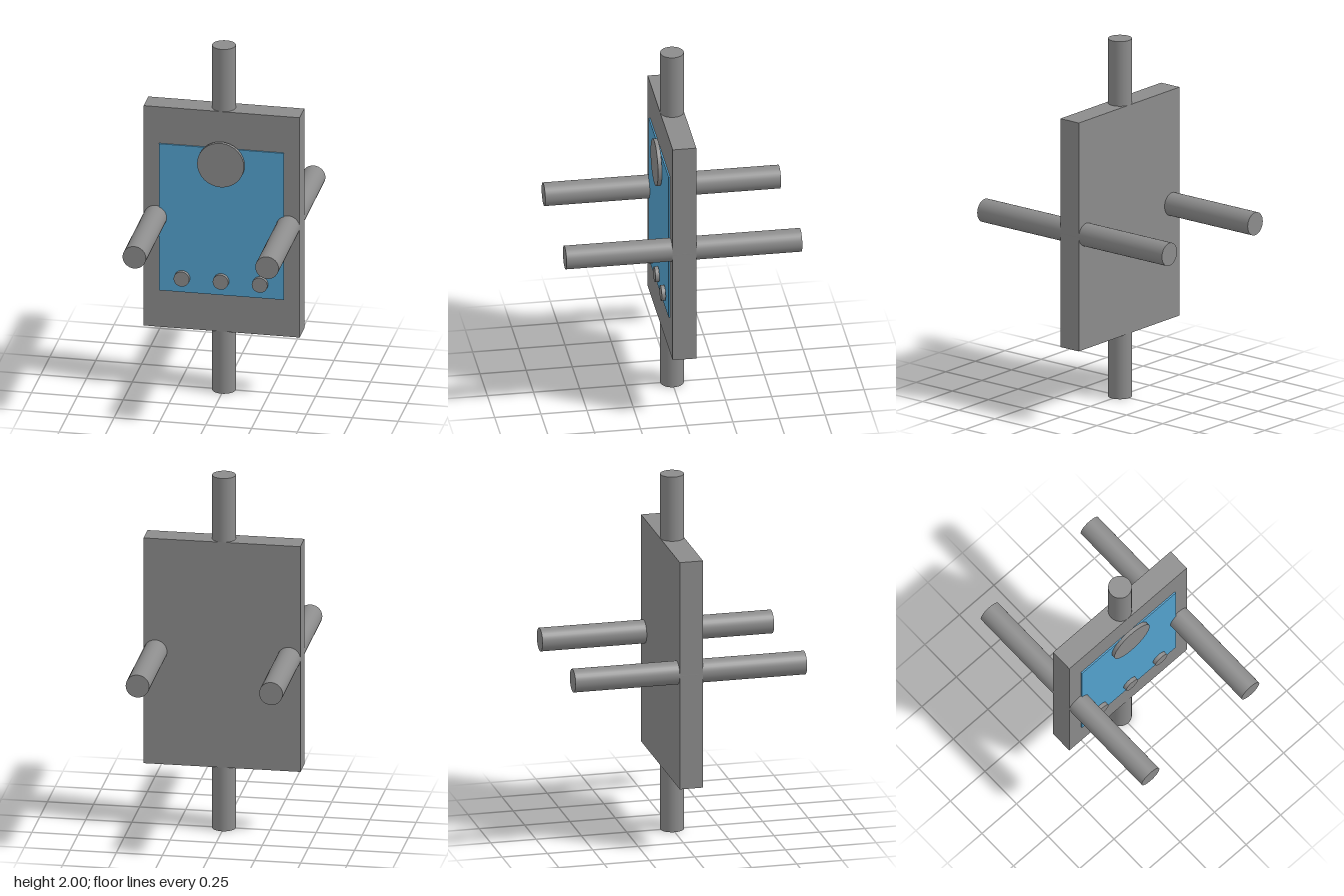
import * as THREE from 'three';

const grey = new THREE.MeshStandardMaterial({ color: 0x8c8c8c });
const blue = new THREE.MeshStandardMaterial({ color: 0x54a3d0 });

export function createModel() {
  const model = new THREE.Group();

  function add(name, geometry, x, y, z, material = grey) {
    const mesh = new THREE.Mesh(geometry, material);
    mesh.name = name;
    mesh.position.set(x, y, z);
    model.add(mesh);
    return mesh;
  }

  // Round part whose axis runs front to back
  function addRoundZ(name, radius, length, x, y, z) {
    add(name, new THREE.CylinderGeometry(radius, radius, length, 32), x, y, z).rotation.x = Math.PI / 2;
  }

  // Slab body with a thin panel on its front
  add('body', new THREE.BoxGeometry(0.851, 1.277, 0.1277), 0, 1, 0);
  add('screen', new THREE.BoxGeometry(0.681, 0.851, 0.0085), 0, 1.002, 0.0681, blue);

  // Vertical rod through the whole body
  add('verticalRod', new THREE.CylinderGeometry(0.0638, 0.0638, 2, 32), 0, 1, 0);

  // Rods running front to back at both sides
  for (const [name, side] of [['leftRod', 1], ['rightRod', -1]]) {
    addRoundZ(name, 0.0638, 1.277, side * 0.362, 1, 0);
  }

  // Large dial and a row of three buttons
  addRoundZ('dial', 0.1277, 0.0213, 0, 1.34, 0.0851);
  ['rightButton', 'middleButton', 'leftButton'].forEach((name, i) => {
    addRoundZ(name, 0.0426, 0.0213, (i - 1) * 0.213, 0.66, 0.0851);
  });

  return model;
}
